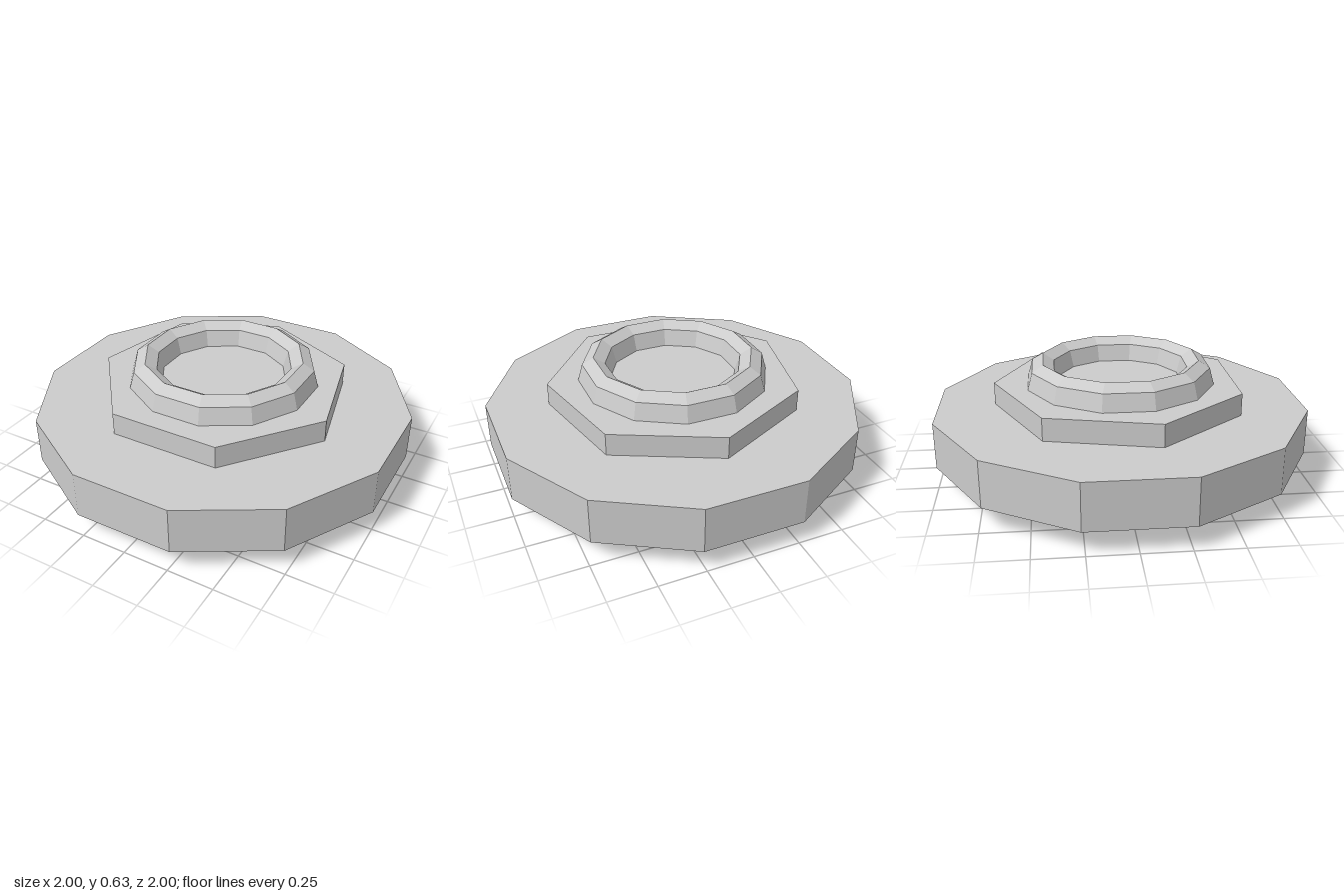
import * as THREE from 'three';

export function createModel() {
  const model = new THREE.Group();
  const material = new THREE.MeshStandardMaterial({ color: 0xcccccc, flatShading: true });

  const add = (name, geometry, y) => {
    const mesh = new THREE.Mesh(geometry, material);
    mesh.name = name;
    mesh.position.y = y;
    model.add(mesh);
    return mesh;
  };

  // A prism standing on height y0, with its first corner turned by start
  const prism = (name, radius, sides, y0, y1, start) =>
    add(name, new THREE.CylinderGeometry(radius, radius, y1 - y0, sides, 1, false, start), (y0 + y1) / 2);

  // Seven-sided core, running through the disc with one corner to the back
  prism('core', 0.692, 7, 0, 0.5, Math.PI);

  // Wide twelve-sided disc, flats facing front and sides
  prism('disc', 1 / Math.cos(Math.PI / 12), 12, 0.127, 0.378, Math.PI / 12);

  // Raised rim: a coarse ring stretched upwards, half sunk into the core
  const rim = new THREE.TorusGeometry(0.435, 0.088, 8, 12);
  rim.rotateX(-Math.PI / 2).rotateY(Math.PI / 12).scale(1, 0.13 / 0.088, 1);
  add('rim', rim, 0.5);

  return model;
}
